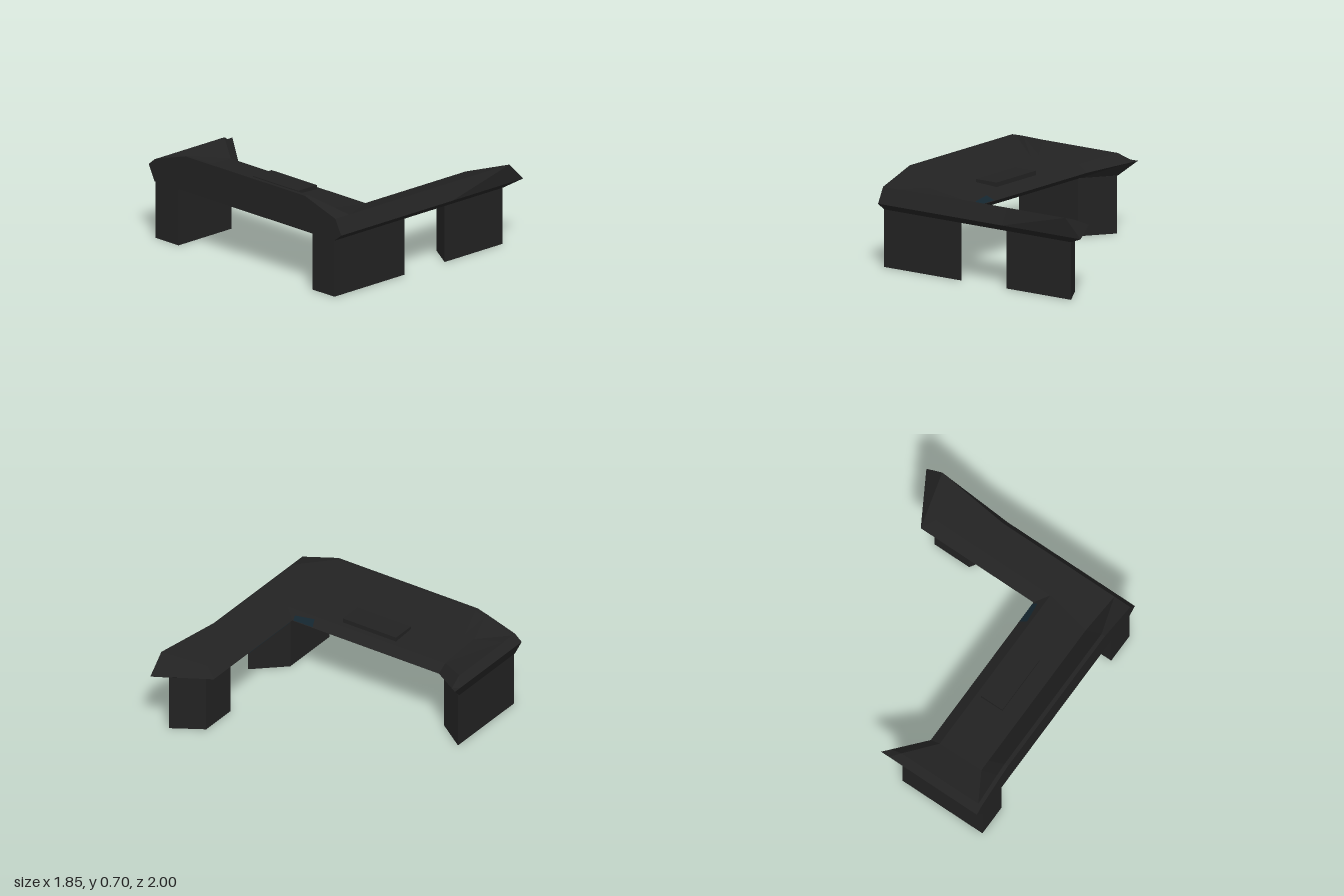
import * as THREE from 'three';

const charcoal = new THREE.MeshStandardMaterial({ color: 0x222222 });
charcoal.name = 'charcoal';
const deepBlue = new THREE.MeshStandardMaterial({ color: 0x14262f, side: THREE.DoubleSide });
deepBlue.name = 'deep blue';

const V = (x, y, z) => new THREE.Vector3(x, y, z);

// Flat-faced geometry from a list of quads; collapsed triangles are dropped.
function quadGeometry(quads) {
  const pos = [];
  for (const [a, b, c, d] of quads) {
    for (const t of [[a, b, c], [a, c, d]]) {
      if (new THREE.Triangle(...t).getArea() > 1e-7) t.forEach(p => pos.push(p.x, p.y, p.z));
    }
  }
  const g = new THREE.BufferGeometry();
  g.setAttribute('position', new THREE.Float32BufferAttribute(pos, 3));
  g.computeVertexNormals();
  return g;
}

// Straight cross-section of the long wing at depth z, with ridge height.
const wing = (z, ridge, zf = z, zg = z) => [
  V(-0.93, 0.43, z), V(-0.93, 0.485, z), V(-0.93, ridge, z), V(-0.90, ridge, z),
  V(-0.76, 0.555, z), V(-0.39, 0.535, zf), V(-0.31, 0.485, zg), V(-0.39, 0.43, zf),
];

// Cross-section of the short arm; the ridge points share one place.
function armSection(low, mid, top, valley, lip, under, ridgeY, ridgeZ) {
  const r = V(top, ridgeY, ridgeZ);
  return [V(low, 0.43, 0.93), V(mid, 0.485, 1), r, r, r,
    V(valley, 0.535, 0.70), V(lip, 0.485, 0.60), V(under, 0.43, 0.70)];
}

// L-shaped top lofted from the back tip, round the corner, to the arm end.
function tabletopGeometry() {
  const sections = [
    [-0.93, -0.93, -0.93, -0.90, -0.79, -0.15, -0.08, -0.08].map(x => V(x, 0.55, -1)),
    [V(-0.93, 0.43, -0.94), V(-0.93, 0.52, -0.94), V(-0.93, 0.60, -0.94), V(-0.90, 0.60, -0.94),
      V(-0.79, 0.60, -0.94), V(-0.22, 0.60, -0.94), V(-0.126, 0.537, -0.94), V(-0.22, 0.43, -0.94)],
    wing(-0.70, 0.675),
    wing(-0.61, 0.70),
    wing(0.62, 0.70, 0.58, 0.52),
    [V(-0.93, 0.43, 0.93), V(-0.93, 0.485, 1), V(-0.93, 0.60, 0.94), V(-0.90, 0.60, 0.94),
      V(-0.79, 0.60, 0.94), V(-0.39, 0.535, 0.70), V(-0.31, 0.485, 0.60), V(-0.43, 0.43, 0.70)],
    armSection(0.2, 0.2, 0.2, 0.2, 0.2, 0.2, 0.60, 0.94),
    armSection(0.78, 0.92, 0.78, 0.63, 0.69, 0.64, 0.625, 1),
  ];
  const quads = [];
  for (let i = 0; i < sections.length - 1; i++) {
    const s = sections[i], t = sections[i + 1];
    for (let j = 0; j < 8; j++) {
      const k = (j + 1) % 8;
      quads.push([s[j], t[j], t[k], s[k]]);
    }
  }
  // Pointed end of the arm: an upper and a lower slanted face.
  const [a, b, c, , , f, g, h] = sections[sections.length - 1];
  quads.push([g, f, c, b], [h, g, b, a]);
  return quadGeometry(quads);
}

// Upright leg with a plan outline of [x, z] corners.
function legGeometry(plan) {
  const shape = new THREE.Shape(plan.map(([x, z]) => new THREE.Vector2(x, -z)));
  return new THREE.ExtrudeGeometry(shape, { depth: 0.432, bevelEnabled: false }).rotateX(-Math.PI / 2);
}

export function createModel() {
  const group = new THREE.Group();
  group.name = 'cornerDesk';
  const add = (name, geometry, material = charcoal) => {
    const mesh = new THREE.Mesh(geometry, material);
    mesh.name = name;
    group.add(mesh);
    return mesh;
  };

  add('tabletop', tabletopGeometry());

  // Three mitred legs
  add('cornerLeg', legGeometry([[-0.93, 0.93], [-0.22, 0.93], [-0.43, 0.70], [-0.93, 0.70]]));
  add('armLeg', legGeometry([[0.19, 0.93], [0.78, 0.93], [0.64, 0.70], [0.33, 0.70]]));
  add('backLeg', legGeometry([[-0.93, -0.69], [-0.39, -0.69], [-0.22, -0.93], [-0.93, -0.93]]));

  // Raised panel on the work surface
  add('controlPanel', new THREE.BoxGeometry(0.19, 0.04, 0.47)).position.set(-0.525, 0.55, 0);

  // Blue patches by the inner corner
  add('armUndersidePatch', quadGeometry([[
    V(-0.28, 0.479, 0.603), V(0.22, 0.479, 0.603), V(0.15, 0.432, 0.688), V(-0.38, 0.432, 0.688),
  ]]), deepBlue);
  add('innerEdgePatch', quadGeometry([[
    V(-0.365, 0.5235, 0.44), V(-0.345, 0.511, 0.60), V(-0.310, 0.489, 0.59), V(-0.312, 0.490, 0.42),
  ]]), deepBlue);

  return group;
}
